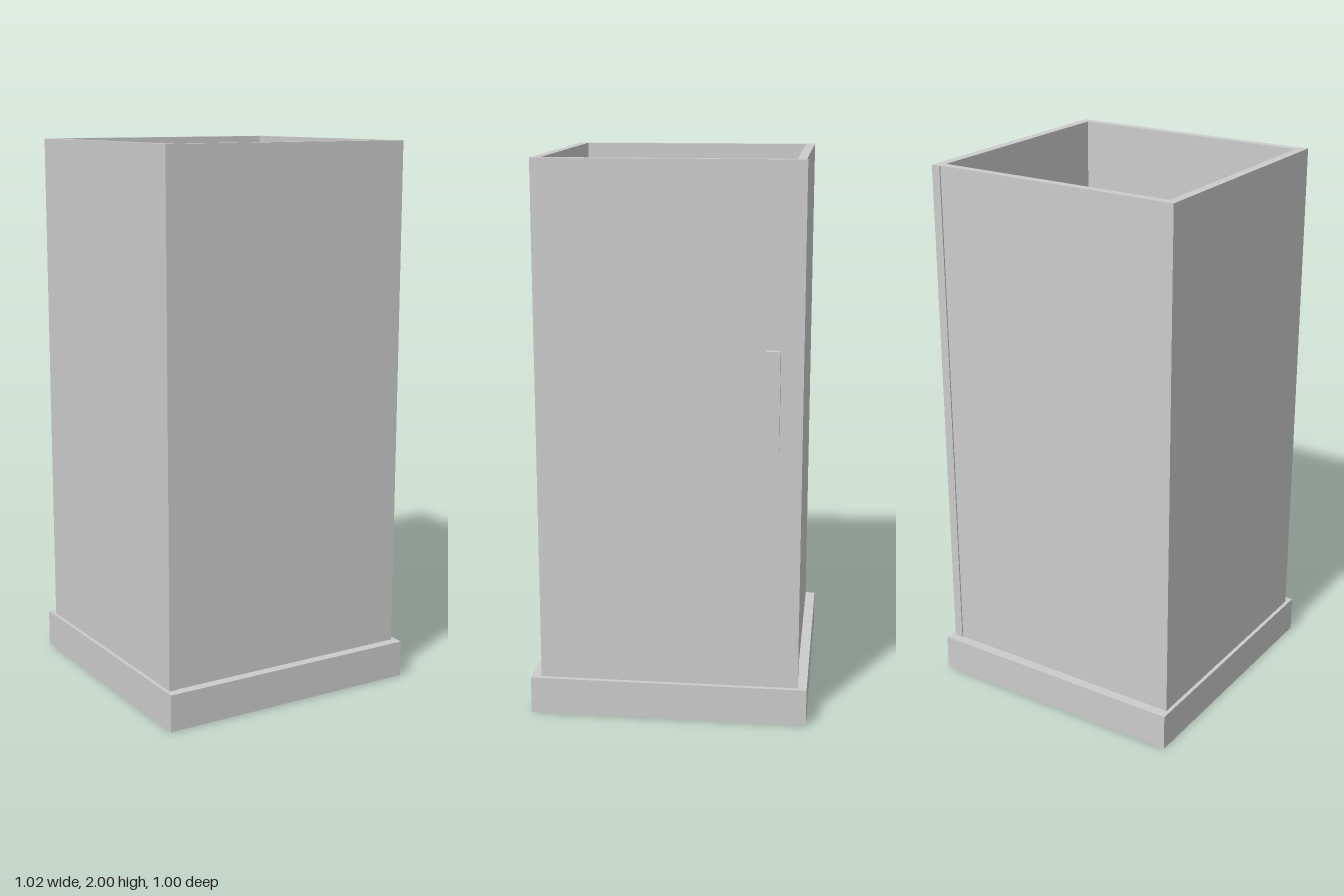
import * as THREE from 'three';

const material = new THREE.MeshStandardMaterial({ color: 0xcccccc });

// Box given by its minimum and maximum corners
function block(name, [x0, y0, z0], [x1, y1, z1]) {
  const mesh = new THREE.Mesh(new THREE.BoxGeometry(x1 - x0, y1 - y0, z1 - z0), material);
  mesh.name = name;
  mesh.position.set((x0 + x1) / 2, (y0 + y1) / 2, (z0 + z1) / 2);
  return mesh;
}

export function createModel() {
  const model = new THREE.Group();
  model.name = 'showerCabin';
  const floorY = 0.135, topY = 2;

  // Tray
  model.add(block('baseTray', [-0.512, 0, -0.5], [0.485, floorY, 0.5]));

  // Four panels, each butting against the next
  const panels = new THREE.Group();
  panels.name = 'wallPanels';
  panels.add(
    block('frontPanel', [-0.465, floorY, 0.431], [0.466, topY, 0.464]),
    block('leftSidePanel', [-0.498, floorY, -0.431], [-0.465, topY, 0.467]),
    block('backPanel', [-0.498, floorY, -0.463], [0.435, topY, -0.431]),
    block('doorPanel', [0.435, floorY, -0.468], [0.468, topY, 0.431])
  );
  model.add(panels);

  // Door handle: flat grip on two short posts
  const handle = new THREE.Group();
  handle.name = 'doorHandle';
  handle.add(block('handleGrip', [0.487, 1.02, -0.39], [0.51, 1.365, -0.34]));
  for (const y of [1.1, 1.298]) {
    handle.add(block('handlePost', [0.466, y - 0.006, -0.38], [0.489, y + 0.006, -0.351]));
  }
  model.add(handle);

  return model;
}
